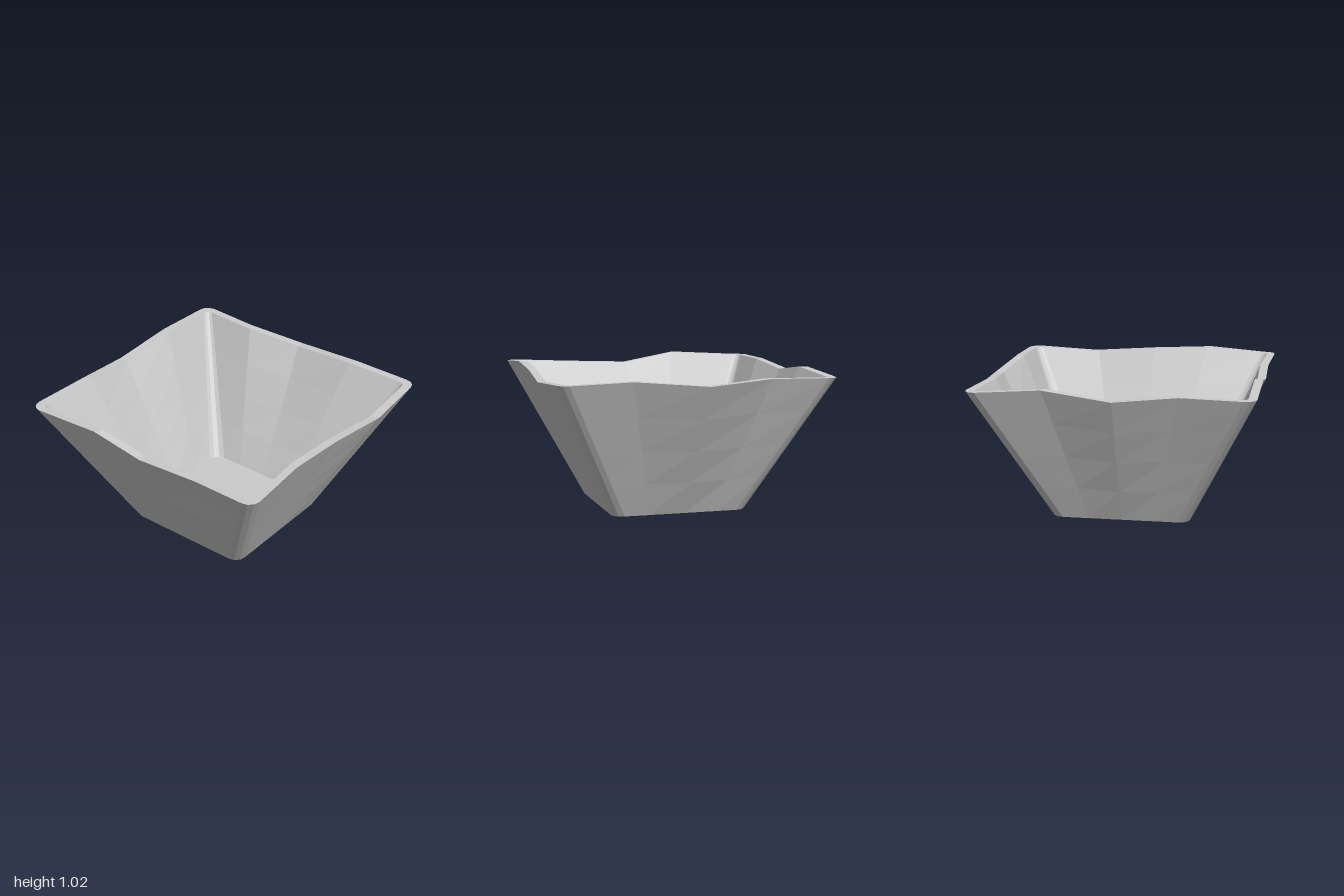
import * as THREE from 'three';

// Wavy rim of each wall: [position along wall, push outwards, height]
const WALLS = [
  [[-0.37, 0, 1.015], [0.03, -0.008, 0.945], [0.5, -0.022, 0.965]],        // front
  [[-0.48, -0.012, 1.018], [-0.03, -0.004, 0.995], [0.45, 0.025, 0.957]],  // +x side
  [[-0.47, -0.012, 0.995], [0.05, 0.025, 0.952], [0.5, -0.034, 0.985]],    // back
  [[-0.45, -0.018, 1.01], [0.03, 0.012, 0.95], [0.47, -0.02, 0.99]],       // -x side
];
const FRONT_RIPPLE = [0, -0.004, 0.012, 0, 0];
const ROWS = 4, ARC = 3, CORNER_HEIGHT = 0.983;

// Rounded-square loop at row r, either on the outer or the inner skin
function ring(r, inner) {
  const t = r / ROWS;
  const half = THREE.MathUtils.lerp(0.492, inner ? 0.922 : 0.982, t);
  const radius = inner ? THREE.MathUtils.lerp(0.08, 0.045, t) : 0.08;
  const floor = inner ? 0.01 : 0;
  const pts = [];
  WALLS.forEach((wall, k) => {
    const c = Math.cos(k * Math.PI / 2), s = Math.sin(k * Math.PI / 2);
    const add = (a, out, h) => pts.push(new THREE.Vector3(
      a * c + out * s - 0.0075,
      floor + t * (h - floor),
      out * c - a * s + 0.0075));
    for (const [a, push, h] of wall) {
      const ripple = k === 0 ? FRONT_RIPPLE[r] : 0;
      add(a * half / 0.982, half + push * t + ripple, h);
    }
    for (let i = 0; i <= ARC; i++) {
      const g = (i / ARC) * Math.PI / 2, m = half - radius;
      add(m + radius * Math.sin(g), m + radius * Math.cos(g), CORNER_HEIGHT);
    }
  });
  return pts;
}

// Skin consecutive loops with triangles, leaving out collapsed ones
function skin(loops) {
  const pos = [];
  const tri = (a, b, c) => {
    if (a.equals(b) || b.equals(c) || c.equals(a)) return;
    for (const p of [a, b, c]) pos.push(p.x, p.y, p.z);
  };
  for (let j = 0; j < loops.length - 1; j++) {
    const lo = loops[j], hi = loops[j + 1], n = lo.length;
    for (let i = 0; i < n; i++) {
      const k = (i + 1) % n;
      tri(lo[i], lo[k], hi[k]);
      tri(lo[i], hi[k], hi[i]);
    }
  }
  const geo = new THREE.BufferGeometry();
  geo.setAttribute('position', new THREE.Float32BufferAttribute(pos, 3));
  geo.computeVertexNormals();
  return geo;
}

export function createModel() {
  const group = new THREE.Group();
  group.name = 'squareBowl';
  const material = new THREE.MeshStandardMaterial({ color: 0xcccccc, flatShading: true });
  const part = (name, loops) => {
    const mesh = new THREE.Mesh(skin(loops), material);
    mesh.name = name;
    group.add(mesh);
  };
  const rows = [...Array(ROWS + 1).keys()];
  const outer = rows.map((r) => ring(r, false));
  const inner = rows.map((r) => ring(r, true)).reverse();
  const centre = (y) => outer[0].map(() => new THREE.Vector3(-0.0075, y, 0.0075));

  part('outerWall', outer);
  part('rim', [outer[ROWS], inner[0]]);
  part('innerWall', inner);
  part('innerFloor', [inner[ROWS], centre(0.01)]);
  part('base', [centre(0), outer[0]]);
  return group;
}
